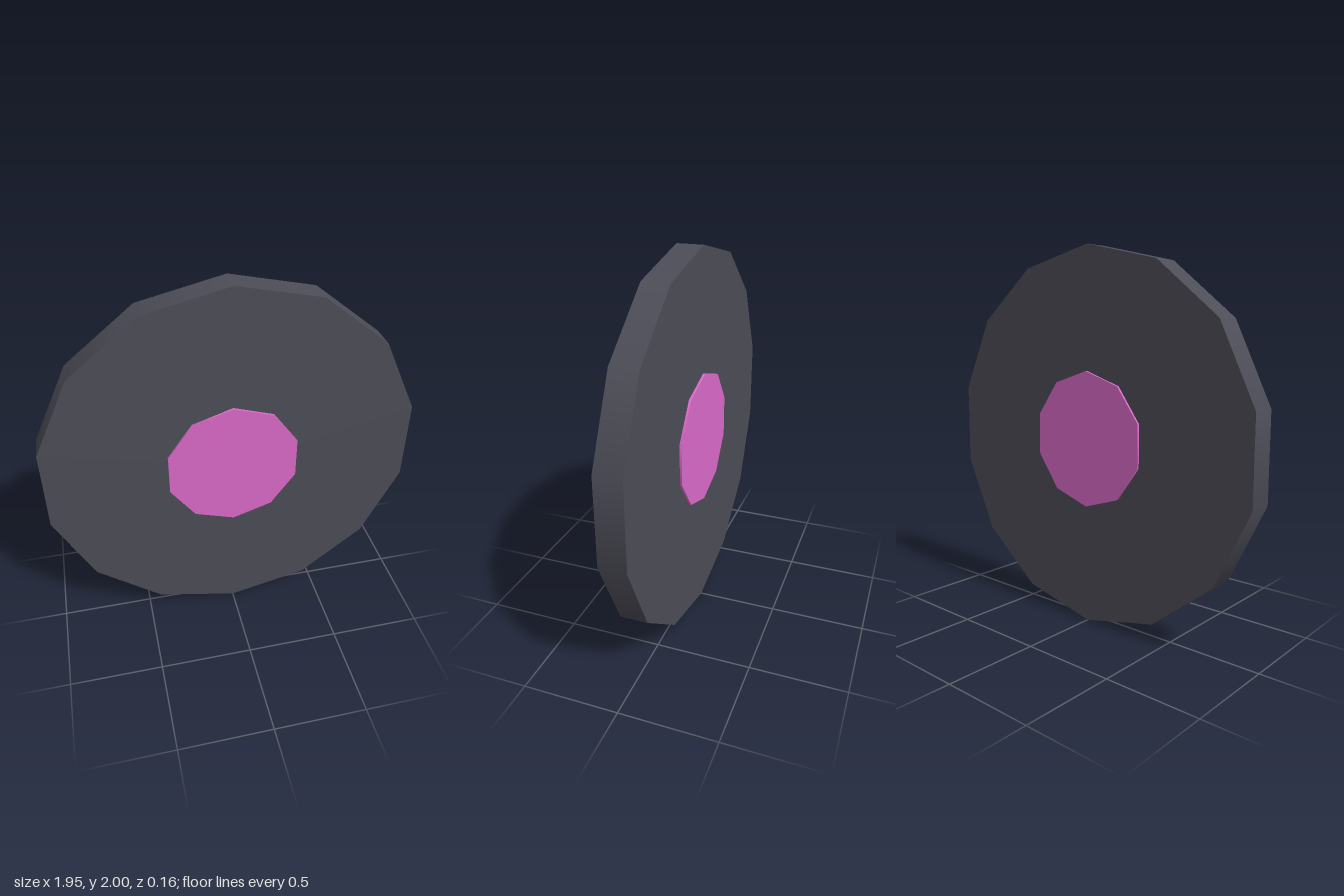
import * as THREE from 'three';

// Upright disc whose axis runs along z, with a corner at the top
function disc(name, radius, depth, sides, color) {
  const geometry = new THREE.CylinderGeometry(radius, radius, depth, sides);
  geometry.rotateX(Math.PI / 2);
  const mesh = new THREE.Mesh(geometry, new THREE.MeshStandardMaterial({ color }));
  mesh.name = name;
  mesh.position.y = 1;
  return mesh;
}

export function createModel() {
  const wheel = new THREE.Group();
  wheel.name = 'wheel';
  // Tyre, and a hub that stands slightly proud on both faces
  wheel.add(disc('tyre', 1, 0.14, 14, 0x4d4d58));
  wheel.add(disc('hub', 0.36, 0.164, 10, 0xdc6bcb));
  return wheel;
}
